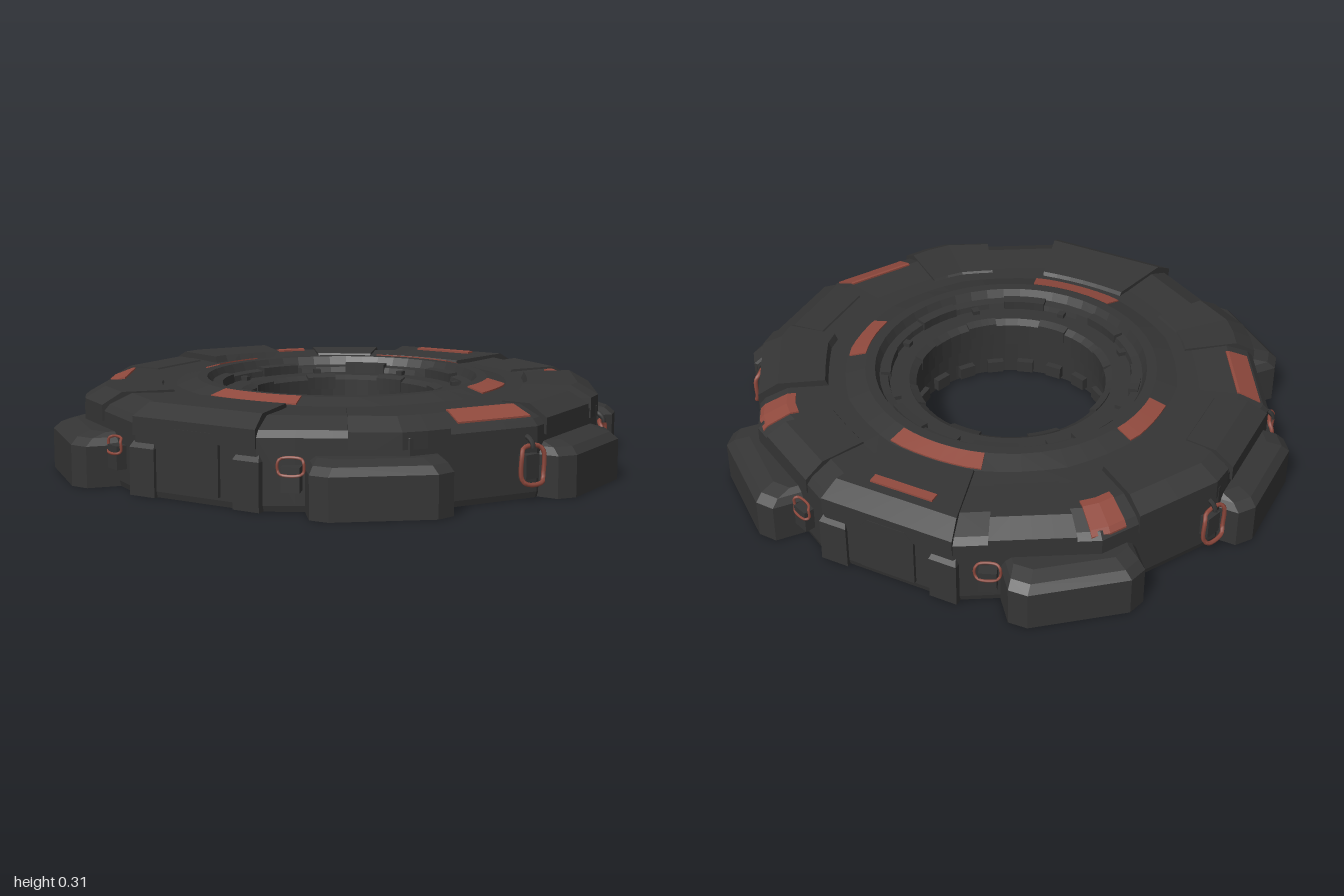
import * as THREE from 'three';

const rad = THREE.MathUtils.degToRad;

// Pushes round sections out to a twelve-sided outline towards the rim
function warp(r, a) {
  const step = Math.PI / 6;
  const d = a - Math.round(a / step) * step;
  const w = THREE.MathUtils.smoothstep(r, 0.5, 0.75);
  return r * (1 + w * (1 / Math.cos(d) - 1));
}

// Joins equal rings of points into a closed solid with flat faces
function loft(rings) {
  const n = rings[0].length, pos = [];
  const tri = (a, b, c) => pos.push(...a, ...b, ...c);
  for (let i = 0; i + 1 < rings.length; i++) {
    const A = rings[i], B = rings[i + 1];
    for (let j = 0; j < n; j++) {
      const k = (j + 1) % n;
      tri(A[j], A[k], B[j]);
      tri(A[k], B[k], B[j]);
    }
  }
  const first = rings[0], last = rings[rings.length - 1];
  for (let j = 1; j + 1 < n; j++) {
    tri(first[0], first[j + 1], first[j]);
    tri(last[0], last[j], last[j + 1]);
  }
  const g = new THREE.BufferGeometry();
  g.setAttribute('position', new THREE.Float32BufferAttribute(pos, 3));
  g.computeVertexNormals();
  return g;
}

// Sweeps a clockwise (radius, height) section between two angles, measured from the front
function sector(section, from, to) {
  const count = Math.max(1, Math.round((to - from) / 5)), rings = [];
  for (let i = 0; i <= count; i++) {
    const a = rad(from + (to - from) * i / count);
    rings.push(section.map(([r, y]) => {
      const R = warp(r, a);
      return [R * Math.sin(a), y, R * Math.cos(a)];
    }));
  }
  return loft(rings);
}

// Thin painted plate lying on a (radius, height) path
function paint(path, from, to) {
  const top = path.map(([r, y]) => [r, y + 0.005]);
  const low = path.map(([r, y]) => [r, y - 0.003]).reverse();
  return sector([...top, ...low], from, to);
}

// Armour pod with chamfered top and corners
function podGeometry(reach) {
  const ring = (y, w, d) => [
    [w, y, 0.8], [-w, y, 0.8], [-w, y, d - 0.04],
    [-w + 0.055, y, d], [w - 0.055, y, d], [w, y, d - 0.04]];
  return loft([ring(0, 0.225, reach), ring(0.14, 0.225, reach),
    ring(0.165, 0.21, reach - 0.025), ring(0.18, 0.19, reach - 0.075)]);
}

export function createModel() {
  const model = new THREE.Group();
  const dark = new THREE.MeshStandardMaterial({ color: 0x353535 });
  dark.name = 'dark grey armour';
  const red = new THREE.MeshStandardMaterial({ color: 0x914a3e });
  red.name = 'dull red paint';

  const add = (name, geometry, material = dark, parent = model) => {
    const mesh = new THREE.Mesh(geometry, material);
    mesh.name = name;
    parent.add(mesh);
    return mesh;
  };
  const polar = (name, angle) => {
    const g = new THREE.Group();
    g.name = name;
    g.rotation.y = rad(angle);
    model.add(g);
    return g;
  };

  // Main ring with stepped inner collar
  const profile = [
    [0.38, 0], [0.885, 0], [0.89, 0.02], [0.89, 0.235], [0.87, 0.257], [0.79, 0.29],
    [0.66, 0.284], [0.59, 0.285], [0.52, 0.305], [0.485, 0.305], [0.47, 0.275],
    [0.44, 0.27], [0.435, 0.25], [0.365, 0.25], [0.34, 0.235], [0.34, 0.15],
    [0.36, 0.14], [0.36, 0.08], [0.38, 0.07], [0.38, 0],
  ].map(([r, y]) => new THREE.Vector2(r, y));
  const body = new THREE.LatheGeometry(profile, 48).toNonIndexed();
  const p = body.attributes.position;
  for (let i = 0; i < p.count; i++) {
    const x = p.getX(i), z = p.getZ(i), r = Math.hypot(x, z);
    const s = warp(r, Math.atan2(x, z)) / r;
    p.setXYZ(i, x * s, p.getY(i), z * s);
  }
  body.computeVertexNormals();
  add('mainRing', body);

  // Raised top armour
  const slab = (inner, outer, top) => [
    [inner, 0.26], [inner + 0.02, top - 0.004], [outer - 0.07, top], [outer, top - 0.04], [outer, 0.2]];
  add('frontArmour', sector(slab(0.6, 0.9, 0.302), -15, 15));
  add('backArmour', sector(slab(0.58, 0.9, 0.302), 165, 195));
  for (const s of [1, -1]) {
    const panel = (name, section, a, b) =>
      add(name, s > 0 ? sector(section, a, b) : sector(section, -b, -a));
    panel('frontShoulder', slab(0.62, 0.897, 0.296), 33, 54);
    panel('sideArmour', slab(0.7, 0.9, 0.296), 78, 99);
    panel('rearSideArmour', slab(0.64, 0.895, 0.312), 101, 126);
    panel('rearShoulder', slab(0.64, 0.895, 0.297), 140, 158);
  }

  // Six pods around the rim
  for (const a of [39, 90, 141, 219, 270, 321]) {
    const pod = polar('rimPod', a);
    const reach = a % 90 === 0 ? 1 : 1.016;
    add('podShell', podGeometry(reach), dark, pod);
    const plate = add('podFacePlate', new THREE.BoxGeometry(0.28, 0.09, 0.008), dark, pod);
    plate.position.set(0, 0.07, reach - 0.004);
  }

  // Wall plates on the front and back
  const plateShape = new THREE.Shape([[-0.1, 0.03], [0.1, 0.03], [0.1, 0.2], [0.07, 0.235],
    [-0.07, 0.235], [-0.1, 0.2]].map(([x, y]) => new THREE.Vector2(x, y)));
  for (const a of [0, 180]) {
    const wall = polar('wallPlates', a);
    const centre = add('centrePlate', new THREE.ExtrudeGeometry(plateShape,
      { depth: 0.02, bevelEnabled: false }), dark, wall);
    centre.position.z = 0.882;
    for (const s of [-1, 1]) {
      const block = add('flankBlock', loft([
        [[0.05, 0, -0.05], [-0.05, 0, -0.05], [-0.05, 0, 0.02], [0.05, 0, 0.02]],
        [[0.05, 0.16, -0.05], [-0.05, 0.16, -0.05], [-0.05, 0.16, 0.02], [0.05, 0.16, 0.02]],
        [[0.04, 0.185, -0.05], [-0.04, 0.185, -0.05], [-0.04, 0.185, 0], [0.04, 0.185, 0]],
      ]), dark, wall);
      block.position.set(s * 0.205, 0, 0.882);
    }
  }

  // Brackets and red cables between the pods
  const loop = (w, h) => new THREE.CatmullRomCurve3([
    [-w, -h * 0.7, 0.02], [-w * 0.7, -h, 0.03], [w * 0.7, -h, 0.03], [w, -h * 0.7, 0.02],
    [w, h * 0.7, 0.02], [w * 0.7, h, 0.01], [-w * 0.7, h, 0.01], [-w, h * 0.7, 0.02],
  ].map(v => new THREE.Vector3(...v)), true);
  for (const a of [72.5, 107.5, 252.5, 287.5, 22, 158, 202, 338]) {
    const side = Math.abs(Math.sin(rad(a))) > 0.7;
    const g = polar('cableBracket', a);
    const bracket = add('bracket', new THREE.BoxGeometry(0.06, 0.08, 0.06), dark, g);
    bracket.position.set(0, 0.11, 0.91);
    const cable = add('cable', new THREE.TubeGeometry(
      side ? loop(0.05, 0.058) : loop(0.04, 0.025), 32, side ? 0.008 : 0.005, 5, true), red, g);
    cable.position.set(0, side ? 0.115 : 0.15, side ? 0.92 : 0.91);
    if (side) {
      const hose = add('hose', new THREE.TorusGeometry(0.035, 0.009, 5, 10, Math.PI), dark, g);
      hose.rotation.y = Math.PI / 2;
      hose.position.set(0, 0.17, 0.905);
    }
  }

  // Collar tabs, bolts and lower teeth
  for (let i = 0; i < 8; i++) {
    const a = i * 45;
    add('collarTab', sector([[0.43, 0.25], [0.43, 0.282], [0.465, 0.285], [0.465, 0.25]], a + 10, a + 30));
    add('innerTab', sector([[0.337, 0.2], [0.337, 0.245], [0.365, 0.256], [0.365, 0.2]], a - 9, a + 9));
    const bolt = add('collarBolt', new THREE.BoxGeometry(0.025, 0.02, 0.03), dark, polar('boltMount', a));
    bolt.position.set(0, 0.255, 0.425);
  }
  for (let i = 0; i < 20; i++) {
    const tooth = add('lowerTooth', new THREE.BoxGeometry(0.06, 0.045, 0.035), dark, polar('toothMount', i * 18));
    tooth.position.set(0, 0.035, 0.372);
  }

  // Red painted strips
  const collar = [[0.525, 0.3035], [0.585, 0.2865]];
  for (const [from, to] of [[-17, 17], [163, 197], [87, 110], [-110, -87]]) {
    add('collarStrip', paint(collar, from, to), red);
  }
  const rim = [[0.78, 0.291], [0.79, 0.291], [0.86, 0.262]];
  const rear = [[0.76, 0.29], [0.79, 0.291], [0.87, 0.258], [0.885, 0.242]];
  for (const s of [1, -1]) {
    add('rimStrip', s > 0 ? paint(rim, 57, 75) : paint(rim, -75, -57), red);
    add('rearRimStrip', s > 0 ? paint(rear, 129, 137) : paint(rear, -137, -129), red);
  }
  const backStrip = add('backStrip', new THREE.BoxGeometry(0.23, 0.008, 0.036), red);
  backStrip.position.set(0, 0.304, -0.778);

  return model;
}
